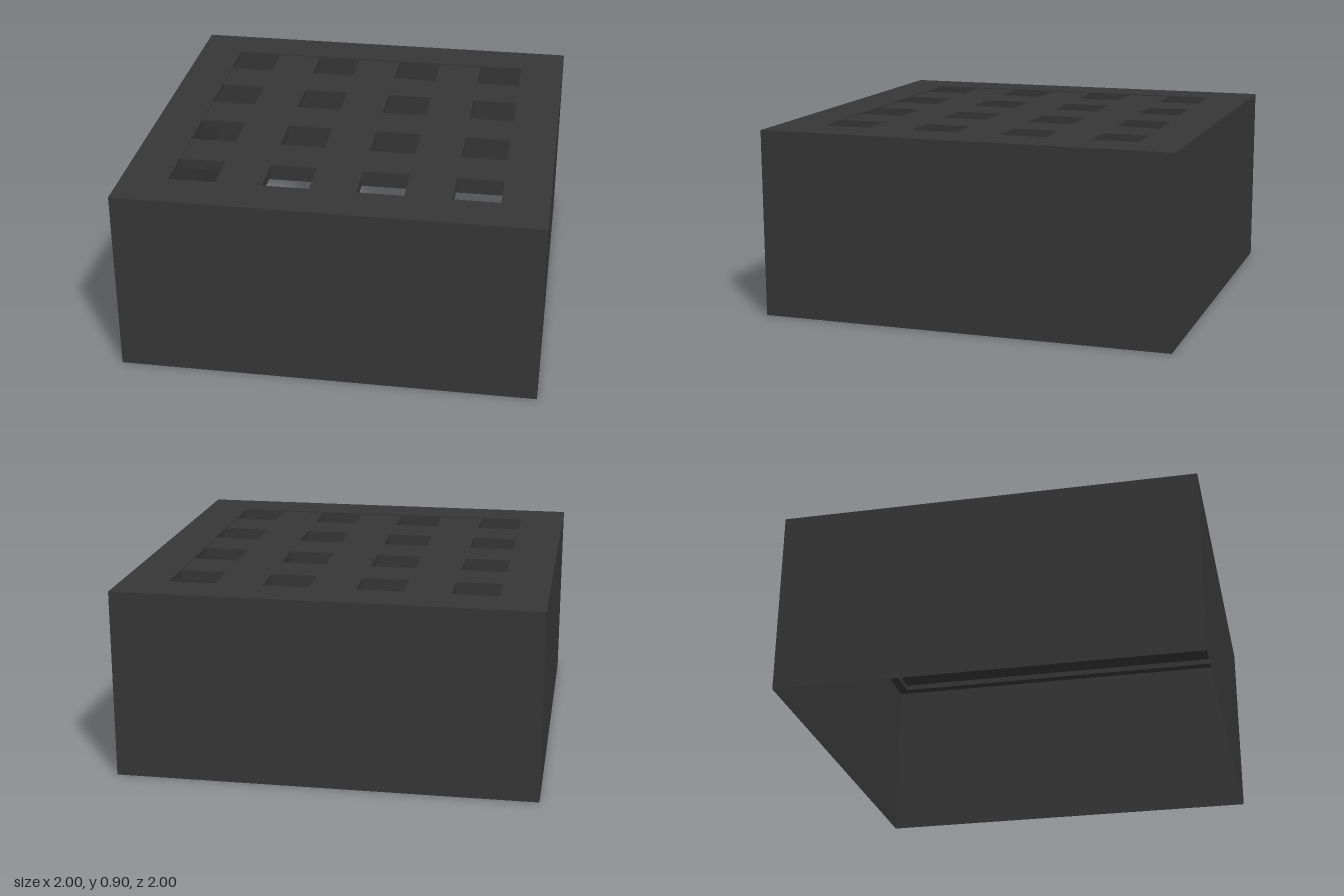
import * as THREE from 'three';

export function createModel() {
  const model = new THREE.Group();
  const iron = new THREE.MeshStandardMaterial({ color: 0x363636, side: THREE.DoubleSide });
  iron.name = 'dark iron';

  const H = 0.905, RIM = 0.85, LEDGE = 0.88, CELL = 2 / 9, INNER = CELL * 3.5;

  const add = (name, geometry, x = 0, y = 0, z = 0) => {
    const mesh = new THREE.Mesh(geometry, iron);
    mesh.name = name;
    mesh.position.set(x, y, z);
    model.add(mesh);
  };

  // Square ring lying flat between two heights
  const ring = (name, outer, inner, bottom, top) => {
    const square = (P, r) => new P([[-r, -r], [r, -r], [r, r], [-r, r]].map(([x, y]) => new THREE.Vector2(x, y)));
    const shape = square(THREE.Shape, outer);
    shape.holes.push(square(THREE.Path, inner));
    const geometry = new THREE.ExtrudeGeometry(shape, { depth: top - bottom, bevelEnabled: false });
    add(name, geometry.rotateX(-Math.PI / 2), 0, bottom, 0);
  };

  // Thin basin walls, open at top and bottom
  for (let i = 0; i < 4; i++) {
    const a = i * Math.PI / 2;
    const wall = new THREE.PlaneGeometry(2, RIM).translate(0, RIM / 2, 1).rotateY(a);
    add('basinWall', wall);
  }

  // Top frame: full-depth edge and a shallower inner ledge
  ring('frameEdge', 1, 0.95, RIM, H);
  ring('frameTop', 0.95, INNER, LEDGE, H);

  // Grate: three long bars joined by short cross pieces, just below the frame top
  const top = H - 0.005, depth = top - RIM, y = (top + RIM) / 2;
  for (let i = -1; i <= 1; i++) {
    add('grateBar', new THREE.BoxGeometry(CELL, depth, INNER * 2), i * CELL * 2, y, 0);
    for (let j = -1.5; j <= 1.5; j++) {
      add('grateCrossPiece', new THREE.BoxGeometry(CELL, depth, CELL), j * CELL * 2, y, i * CELL * 2);
    }
  }
  return model;
}
